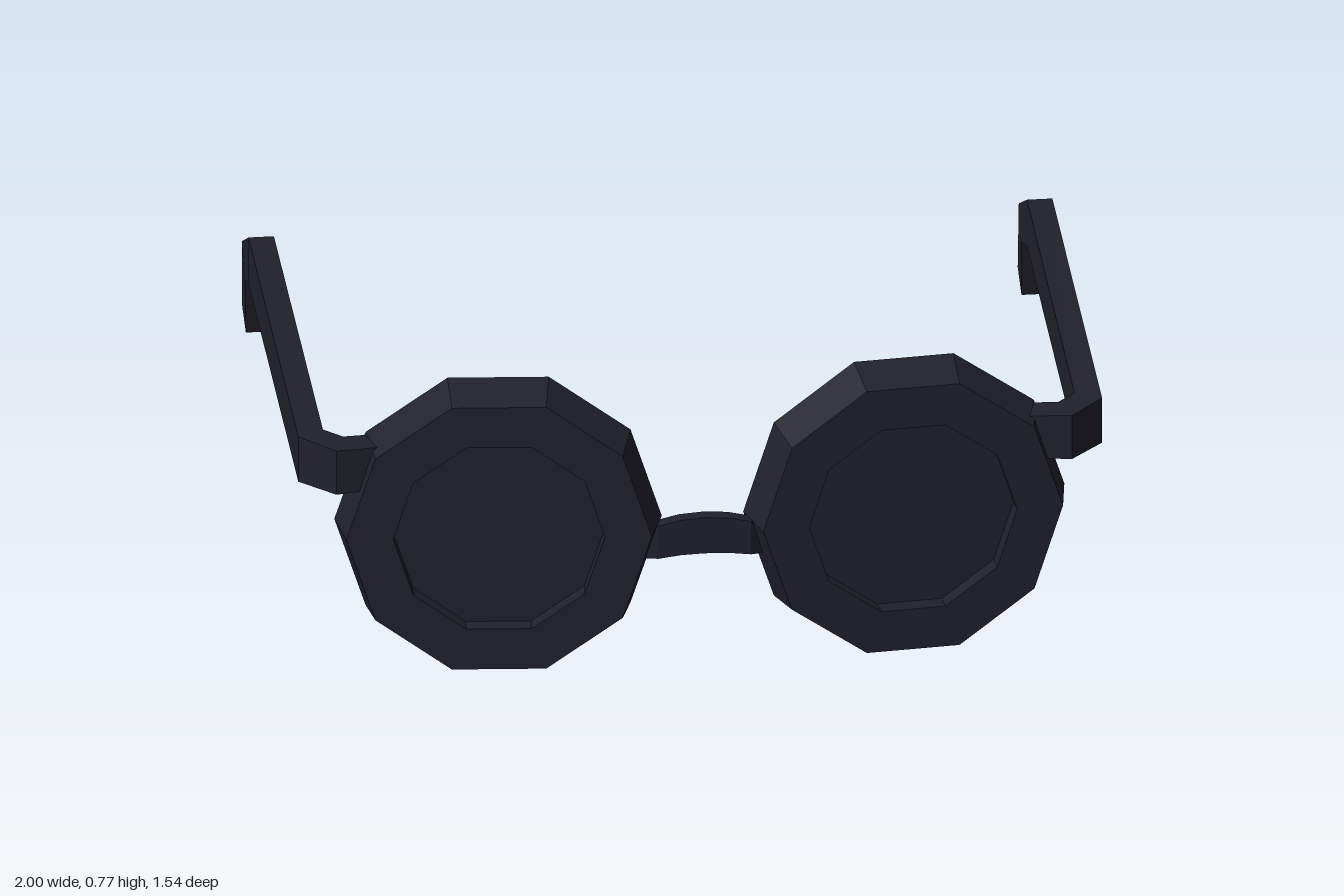
import * as THREE from 'three';

const frameMat = new THREE.MeshStandardMaterial({ color: 0x21212c, flatShading: true });
frameMat.name = 'dark frame';

// Closed solid through four-cornered sections; flip reverses the winding for mirrored parts
function loft(sections, flip = false) {
  const pos = [];
  const tri = (a, b, c) => pos.push(...a, ...(flip ? c : b), ...(flip ? b : c));
  const quad = (a, b, c, d) => { tri(a, b, c); tri(a, c, d); };
  for (let k = 0; k < sections.length - 1; k++) {
    const a = sections[k], b = sections[k + 1];
    for (let i = 0; i < 4; i++) {
      const j = (i + 1) % 4;
      quad(a[i], a[j], b[j], b[i]);
    }
  }
  const s = sections[0], e = sections[sections.length - 1];
  quad(s[0], s[3], s[2], s[1]);
  quad(e[0], e[1], e[2], e[3]);
  const geo = new THREE.BufferGeometry();
  geo.setAttribute('position', new THREE.Float32BufferAttribute(pos, 3));
  geo.computeVertexNormals();
  return geo;
}

function addMesh(parent, geo, name) {
  const mesh = new THREE.Mesh(geo, frameMat);
  mesh.name = name;
  parent.add(mesh);
  return mesh;
}

// Ten-sided rim with a tapered side, recessed front and dished back
function createEyepiece(side) {
  const group = new THREE.Group();
  const profile = [
    [0.262, -0.005], [0.33, -0.035], [0.405, -0.06], [0.378, 0.06], [0.262, 0.06], [0.262, -0.005],
  ].map(([r, y]) => new THREE.Vector2(r, y));
  const rim = new THREE.LatheGeometry(profile, 10, Math.PI / 2);
  rim.rotateX(Math.PI / 2);
  addMesh(group, rim, 'rim');

  const lens = new THREE.CylinderGeometry(0.264, 0.264, 0.02, 10, 1, false, Math.PI / 2);
  lens.rotateX(Math.PI / 2);
  addMesh(group, lens, 'lens').position.z = 0.006;

  group.position.set(side * 0.51, 0.385, 0.675);
  group.rotation.y = side * THREE.MathUtils.degToRad(5);
  return group;
}

// Temple arm: hinge stub, elbow, straight run and ear hook
function createArm(side) {
  // Upright section from its outer and inner plan points
  const upright = (ox, oz, ix, iz, top, bottom) =>
    [[ox, top, oz], [ox, bottom, oz], [ix, bottom, iz], [ix, top, iz]];
  // Sloping section from its upper and lower side points
  const sloped = (ox, ix, ty, tz, by, bz) =>
    [[ox, ty, tz], [ox, by, bz], [ix, by, bz], [ix, ty, tz]];
  const sections = [
    upright(0.80, 0.67, 0.80, 0.595, 0.62, 0.505),
    upright(0.915, 0.69, 0.89, 0.61, 0.625, 0.505),
    upright(1.0, 0.60, 0.935, 0.565, 0.625, 0.502),
    sloped(1.0, 0.937, 0.63, -0.52, 0.502, -0.52),
    sloped(0.995, 0.938, 0.525, -0.715, 0.45, -0.65),
    sloped(0.988, 0.942, 0.32, -0.775, 0.285, -0.69),
  ].map((sec) => sec.map(([x, y, z]) => [side * x, y, z]));
  return loft(sections, side < 0);
}

// Arched nose bridge whose ends bend back into the rims
function createBridge() {
  const half = [
    [0.19, 0.37, 0.28, 0.625, 0.665],
    [0.115, 0.383, 0.293, 0.67, 0.705],
    [0.06, 0.396, 0.30, 0.67, 0.705],
  ];
  const mirrored = half.map(([x, ...rest]) => [-x, ...rest]).reverse();
  const stations = [...half, [0, 0.40, 0.302, 0.67, 0.705], ...mirrored];
  return loft(stations.map(([x, top, bottom, back, front]) =>
    [[x, top, back], [x, bottom, back], [x, bottom, front], [x, top, front]]));
}

export function createModel() {
  const model = new THREE.Group();
  model.name = 'spectacles';
  for (const [side, label] of [[1, 'left'], [-1, 'right']]) {
    const eyepiece = createEyepiece(side);
    eyepiece.name = label + 'Eyepiece';
    model.add(eyepiece);
    addMesh(model, createArm(side), label + 'Arm');
  }
  addMesh(model, createBridge(), 'bridge');
  return model;
}
